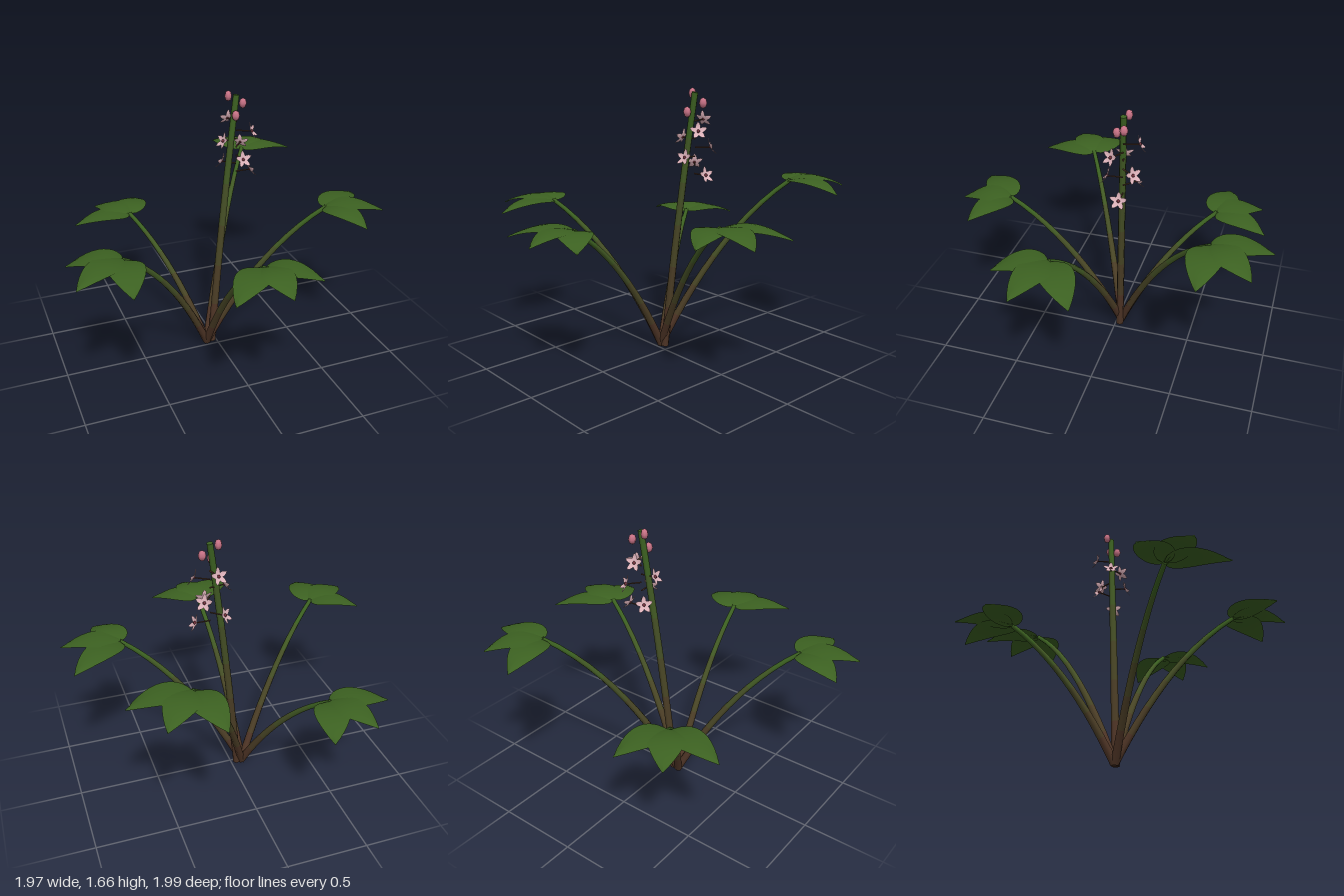
import * as THREE from 'three';

const mat = (name, color, side = THREE.FrontSide) => {
  const m = new THREE.MeshStandardMaterial({ color, side });
  m.name = name;
  return m;
};

export function createModel() {
  const plant = new THREE.Group();
  plant.name = 'floweringPlant';

  const leafGreen = mat('leafGreen', 0x3c6121, THREE.DoubleSide);
  const petalPink = mat('petalPink', 0xddb2ba, THREE.DoubleSide);
  const budPink = mat('budPink', 0xcb7488);
  const heartRed = mat('heartRed', 0x74303c);
  // Stem colours run from brown at the root to green at the tip
  const stemMats = [0x4f3526, 0x4c3e26, 0x4a4726, 0x465026, 0x425a24]
    .map((c, i) => mat('stemTone' + (i + 1), c));
  stemMats.push(leafGreen);

  const add = (parent, name, geometry, material) => {
    const mesh = new THREE.Mesh(geometry, material);
    mesh.name = name;
    parent.add(mesh);
    return mesh;
  };

  // Tapered tube with bands of colour and closed ends
  function stalk(name, curve, r0, r1) {
    const group = new THREE.Group();
    group.name = name;
    const segs = 12, sides = 7;
    const geo = new THREE.TubeGeometry(curve, segs, 1, sides, false);
    const pos = geo.attributes.position, v = new THREE.Vector3();
    for (let i = 0; i < pos.count; i++) {
      const t = Math.floor(i / (sides + 1)) / segs;
      const c = curve.getPointAt(t);
      v.fromBufferAttribute(pos, i).sub(c).multiplyScalar(r0 + (r1 - r0) * t).add(c);
      pos.setXYZ(i, v.x, v.y, v.z);
    }
    const band = 2 * sides * 6;
    stemMats.forEach((m, i) => geo.addGroup(i * band, band, i));
    add(group, name + 'Shaft', geo, stemMats);
    for (const [t, r, dir, m] of [[0, r0, -1, stemMats[0]], [1, r1, 1, leafGreen]]) {
      const cap = add(group, name + 'End', new THREE.CircleGeometry(r, sides), m);
      cap.position.copy(curve.getPointAt(t));
      cap.quaternion.setFromUnitVectors(new THREE.Vector3(0, 0, 1), curve.getTangentAt(t).multiplyScalar(dir));
    }
    plant.add(group);
  }

  // Arched, pointed leaflet growing along +z
  function leafletGeometry(length) {
    const geo = new THREE.PlaneGeometry(2, 1, 4, 12);
    const pos = geo.attributes.position;
    for (let i = 0; i < pos.count; i++) {
      const u = pos.getX(i);
      const s = Math.pow(Math.max(0, pos.getY(i) + 0.5), 1.4);
      const w = 0.262 * Math.sqrt(s) * Math.pow(Math.max(0, 1 - s), 0.95);
      pos.setXYZ(i, -u * w, 0.11 * s - 0.15 * s * s - 0.008 * u * u, s * length);
    }
    geo.computeVertexNormals();
    return geo;
  }

  // Leaves: tip of the leaf stalk, then lengths of the three leaflets
  const root = new THREE.Vector3(-0.07, 0.01, -0.03);
  const leaves = [
    [0, 0.9, 0.68, 0.375, 0.31, 0.325],
    [-0.69, 0.92, 0.35, 0.315, 0.35, 0.36],
    [-0.41, 0.76, -0.57, 0.345, 0.325, 0.36],
    [0.43, 1.08, -0.66, 0.355, 0.33, 0.35],
    [0.64, 0.95, 0.18, 0.32, 0.36, 0.39],
  ];
  for (const [x, y, z, ...lengths] of leaves) {
    const tip = new THREE.Vector3(x, y, z);
    const bend = root.clone().lerp(tip, 0.46).setY(y * 0.73);
    stalk('leafStalk', new THREE.QuadraticBezierCurve3(root, bend, tip), 0.025, 0.014);

    const leaf = new THREE.Group();
    leaf.name = 'leaf';
    leaf.position.copy(tip);
    leaf.rotation.y = Math.atan2(x - root.x, z - root.z);
    lengths.forEach((length, i) => {
      const leaflet = add(leaf, 'leaflet', leafletGeometry(length), leafGreen);
      leaflet.rotation.y = (i - 1) * THREE.MathUtils.degToRad(52);
      leaflet.position.y = [0.003, 0.007, 0][i];
    });
    plant.add(leaf);
  }

  // Flower spike
  stalk('flowerStem', new THREE.QuadraticBezierCurve3(
    new THREE.Vector3(-0.035, 0.01, -0.03),
    new THREE.Vector3(0.04, 0.82, -0.06),
    new THREE.Vector3(0.152, 1.63, -0.1)), 0.025, 0.019);

  // Pointed petal growing along +y, tip leaning forward
  const petal = new THREE.PlaneGeometry(2, 1, 2, 5);
  const pp = petal.attributes.position;
  for (let i = 0; i < pp.count; i++) {
    const u = pp.getX(i), s = pp.getY(i) + 0.5;
    const w = 0.004 + 0.011 * Math.sin(Math.PI * Math.pow(s, 0.85));
    pp.setXYZ(i, u * w * (s > 0.99 ? 0 : 1), s * 0.054, 0.014 * s * s + 0.003 * u * u);
  }
  petal.computeVertexNormals();
  const heart = new THREE.SphereGeometry(0.01, 6, 5);
  const pedicel = new THREE.CylinderGeometry(0.004, 0.005, 0.09, 6).rotateX(Math.PI / 2);
  const bud = new THREE.SphereGeometry(0.024, 6, 4).scale(1, 1.35, 1);

  // Seven flowers and three buds spiral up around the spike
  for (let n = 0; n < 10; n++) {
    const angle = THREE.MathUtils.degToRad(-137.5 * n);
    const dx = Math.cos(angle), dz = Math.sin(angle);
    const open = n < 7, r = open ? 0.09 : 0.05;
    const head = new THREE.Group();
    head.name = open ? 'flower' : 'bud';
    head.position.set(0.155 + r * dx, 1.15 + 0.0525 * n, -0.1 + r * dz);
    head.rotation.y = Math.atan2(dx, dz);
    if (open) {
      // Blossom tips its face upward on a level stalk
      const blossom = new THREE.Group();
      blossom.name = 'blossom';
      blossom.rotation.x = -0.45;
      for (let k = 0; k < 5; k++) {
        add(blossom, 'petal', petal, petalPink).rotation.z = k * Math.PI * 0.4;
      }
      add(blossom, 'flowerHeart', heart, heartRed).position.z = 0.004;
      head.add(blossom);
      add(head, 'pedicel', pedicel, stemMats[0]).position.z = -0.045;
    } else {
      add(head, 'budBody', bud, budPink);
    }
    plant.add(head);
  }
  return plant;
}
